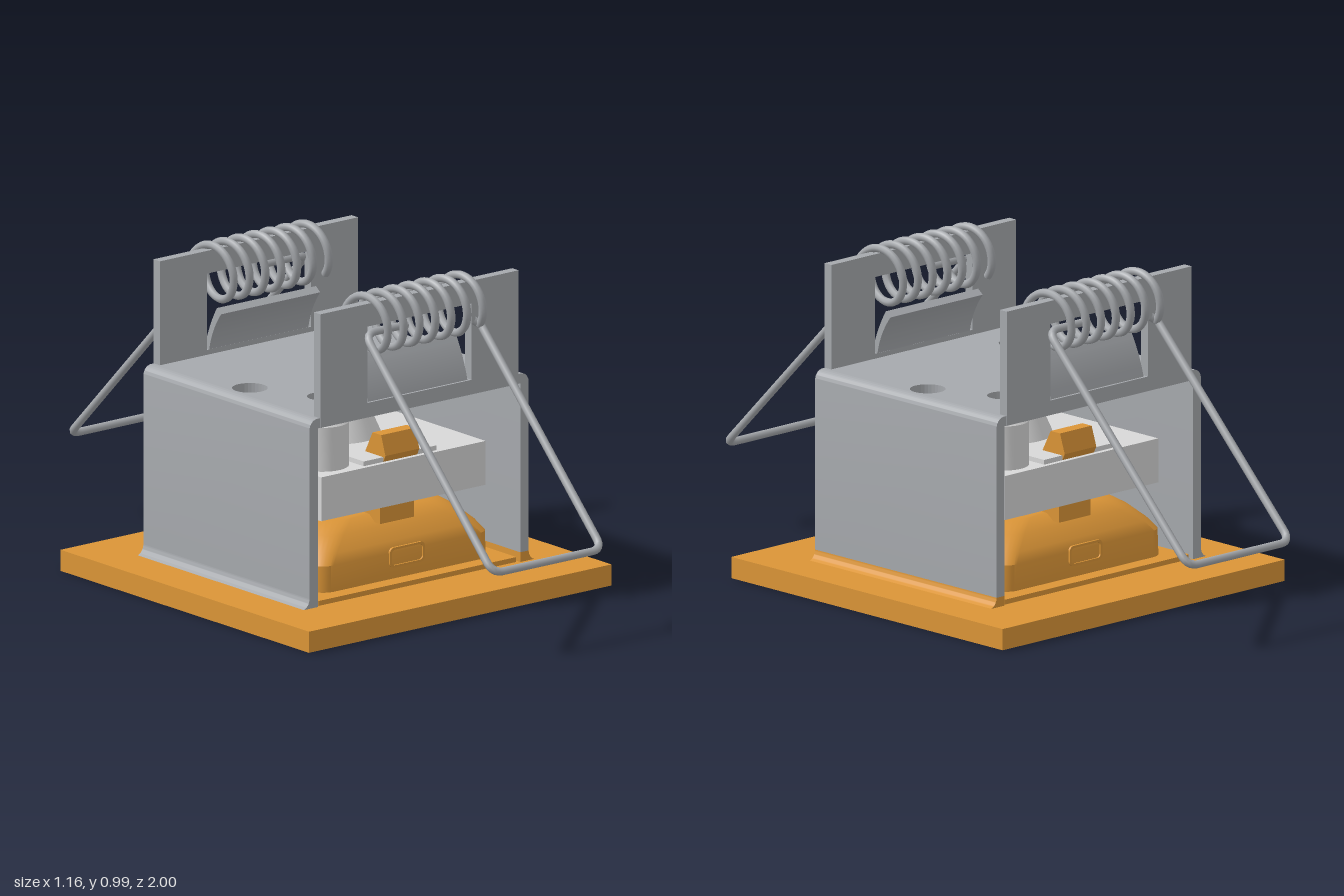
import * as THREE from 'three';
import { toCreasedNormals } from 'three/addons/utils/BufferGeometryUtils.js';

const mat = (name, color, side = THREE.FrontSide) => {
  const m = new THREE.MeshStandardMaterial({ color, side });
  m.name = name;
  return m;
};

export function createModel() {
  const orange = mat('orange paint', 0xdb9537);
  const steel = mat('grey steel', 0xa6a9ad);
  const white = mat('light plastic', 0xd8d8d8);
  const dark = mat('dark grey', 0x77797c);
  const root = new THREE.Group();
  root.name = 'recessedDownlight';

  const add = (name, geo, material, x = 0, y = 0, z = 0, parent = root) => {
    const m = new THREE.Mesh(geo, material);
    m.name = name;
    m.position.set(x, y, z);
    parent.add(m);
    return m;
  };
  const rect = (x0, y0, x1, y1, Type = THREE.Shape) => new Type([
    [x0, y0], [x1, y0], [x1, y1], [x0, y1]].map(p => new THREE.Vector2(...p)));
  const circle = (x, y, r) => new THREE.Path().absarc(x, y, r, 0, Math.PI * 2);
  const extrude = (shape, depth) =>
    new THREE.ExtrudeGeometry(shape, { depth, bevelEnabled: false, curveSegments: 16 });
  const smooth = g => toCreasedNormals(g, 0.6);

  // Loft through rounded squares given as [half width, corner radius, height]
  const loft = rings => {
    const pos = [], idx = [], seg = 8, n = 4 * (seg + 1);
    for (const [h, r, y] of rings) {
      for (let c = 0; c < 4; c++) for (let i = 0; i <= seg; i++) {
        const a = (c + i / seg) * Math.PI / 2;
        const mid = (c + 0.5) * Math.PI / 2, k = (h - r) * Math.SQRT2;
        pos.push(Math.cos(mid) * k + Math.cos(a) * r, y, Math.sin(mid) * k + Math.sin(a) * r);
      }
    }
    for (let j = 0; j < rings.length - 1; j++) for (let i = 0; i < n; i++) {
      const a = j * n + i, b = j * n + (i + 1) % n;
      idx.push(a, a + n, b, b, a + n, b + n);
    }
    const g = new THREE.BufferGeometry();
    g.setAttribute('position', new THREE.Float32BufferAttribute(pos, 3));
    g.setIndex(idx);
    return smooth(g);
  };

  // Square trim plate with its opening
  const plate = rect(-0.58, -0.58, 0.58, 0.58);
  plate.holes.push(rect(-0.38, -0.38, 0.38, 0.38, THREE.Path));
  add('trimPlate', extrude(plate, 0.065).rotateX(-Math.PI / 2), orange);

  // Reflector housing: outer shell upwards, then the funnel back down
  add('reflectorHousing', loft([
    [0.38, 0.005, 0.012], [0.38, 0.005, 0.08], [0.33, 0.05, 0.08], [0.328, 0.05, 0.16],
    [0.31, 0.06, 0.19], [0.275, 0.08, 0.23], [0.235, 0.1, 0.26], [0.21, 0.21, 0.262],
    [0.21, 0.21, 0.3], [0.13, 0.13, 0.3], [0.13, 0.13, 0.25], [0.14, 0.14, 0.235],
    [0.31, 0.006, 0.03], [0.32, 0.006, 0.03], [0.32, 0.006, 0.012], [0.38, 0.005, 0.012],
  ]), orange);

  // Lamp seen through the funnel
  add('lampRing', new THREE.CylinderGeometry(0.13, 0.13, 0.02, 40), white, 0, 0.272, 0);
  add('lampFace', new THREE.CylinderGeometry(0.09, 0.09, 0.006, 40), dark, 0, 0.261, 0);

  // Lamp holder with raised middle, dome and two posts
  add('lampHolder', new THREE.BoxGeometry(0.63, 0.135, 0.63), white, 0, 0.3675, 0);
  add('holderRidge', new THREE.BoxGeometry(0.28, 0.015, 0.6), white, 0, 0.442, 0);
  const lathe = pts => smooth(new THREE.LatheGeometry(pts.map(p => new THREE.Vector2(...p)), 40));
  add('dome', lathe([[0.14, 0.435], [0.128, 0.465], [0.108, 0.51], [0.096, 0.537],
    [0.08, 0.553], [0, 0.555]]), white);
  const post = lathe([[0.08, 0.435], [0.08, 0.57], [0.074, 0.577], [0.066, 0.577], [0.066, 0.6],
    [0, 0.6]]);
  for (const s of [1, -1]) {
    add('post', post, white, 0.223 * s, 0, -0.207 * s);
    add('postScrew', new THREE.ConeGeometry(0.05, 0.008, 32), orange, 0.223 * s, 0.604, -0.207 * s);
  }

  // Clips holding the lamp holder, and the rounded catches on the housing
  const frame = (hw, hh, r, Type) => {
    const p = new Type();
    p.absarc(hw - r, hh - r, r, 0, Math.PI / 2);
    p.absarc(r - hw, hh - r, r, Math.PI / 2, Math.PI);
    p.absarc(r - hw, r - hh, r, Math.PI, Math.PI * 1.5);
    p.absarc(hw - r, r - hh, r, Math.PI * 1.5, Math.PI * 2);
    p.closePath();
    return p;
  };
  const catchShape = frame(0.067, 0.031, 0.016, THREE.Shape);
  catchShape.holes.push(frame(0.06, 0.024, 0.012, THREE.Path));
  const clipShape = new THREE.Shape([[0.21, 0.24], [0.285, 0.24], [0.285, 0.3], [0.3, 0.435],
    [0.31, 0.455], [0.29, 0.515], [0.25, 0.515], [0.21, 0.44]].map(p => new THREE.Vector2(...p)));
  // Profiles drawn in z and y, extruded across x
  const across = (shape, width) =>
    extrude(shape, width).translate(0, 0, -width / 2).rotateY(-Math.PI / 2);
  const clip = across(clipShape, 0.13);
  for (const s of [0, 1]) {
    const g = new THREE.Group();
    g.name = s ? 'backClip' : 'frontClip';
    g.rotation.y = s * Math.PI;
    add('clip', clip, orange, 0, 0, 0, g);
    add('catch', extrude(catchShape, 0.007), orange, 0, 0.145, 0.327, g);
    root.add(g);
  }

  // Bracket: top with holes, rounded sides and flared feet
  const top = rect(-0.39, -0.388, 0.39, 0.388);
  top.holes.push(circle(0.33, 0, 0.053), circle(-0.33, 0, 0.053),
    circle(0.223, 0.207, 0.045), circle(-0.223, -0.207, 0.045));
  add('bracketTop', extrude(top, 0.03).rotateX(-Math.PI / 2), steel, 0, 0.615, 0);

  const side = new THREE.Shape();
  side.moveTo(0.388, 0.095);
  side.lineTo(0.42, 0.095);
  side.lineTo(0.42, 0.615);
  side.absarc(0.39, 0.615, 0.03, 0, Math.PI / 2);
  side.lineTo(0.388, 0.615);
  const foot = new THREE.Shape();
  foot.moveTo(0.388, 0.065);
  foot.lineTo(0.442, 0.065);
  foot.quadraticCurveTo(0.422, 0.072, 0.42, 0.095);
  foot.lineTo(0.388, 0.095);
  const sideGeo = smooth(extrude(side, 0.776).translate(0, 0, -0.388));
  const footGeo = smooth(extrude(foot, 0.776).translate(0, 0, -0.388));
  for (const s of [0, 1]) {
    add(s ? 'rightBracketSide' : 'leftBracketSide', sideGeo, steel).rotation.y = s * Math.PI;
    add(s ? 'rightFoot' : 'leftFoot', footGeo, s ? steel : orange).rotation.y = s * Math.PI;
  }

  // Spring flap with window and bent tab
  const flap = rect(-0.38, 0.615, 0.38, 0.965);
  flap.holes.push(rect(-0.2, 0.66, 0.2, 0.895, THREE.Path));
  const flapGeo = extrude(flap, 0.03).translate(0, 0, 0.36);
  const tab = new THREE.Shape();
  tab.moveTo(0.385, 0.65);
  tab.quadraticCurveTo(0.365, 0.73, 0.325, 0.795);
  tab.lineTo(0.305, 0.78);
  tab.quadraticCurveTo(0.352, 0.72, 0.362, 0.65);
  const tabGeo = smooth(across(tab, 0.38));

  // Coil and the wire loop, with rounded corners
  const V = (x, y, z) => new THREE.Vector3(x, y, z);
  const coilPts = [];
  const turns = 6.75, steps = 160;
  for (let i = 0; i <= steps; i++) {
    const t = i / steps, a = -Math.PI / 4 + (1 - t) * turns * Math.PI * 2;
    coilPts.push(V(-0.205 + 0.41 * t, 0.895 + 0.085 * Math.sin(a), 0.36 + 0.085 * Math.cos(a)));
  }
  const coilGeo = new THREE.TubeGeometry(new THREE.CatmullRomCurve3(coilPts), 320, 0.0125, 8);
  const corners = [V(-0.05, 0.875, 0.39), V(-0.21, 0.875, 0.39), V(-0.21, 0.267, 0.988),
    V(0.21, 0.267, 0.988), V(0.21, 0.835, 0.42), V(0.19, 0.85, 0.41)];
  const wire = new THREE.CurvePath();
  let from = corners[0];
  for (let i = 1; i < corners.length - 1; i++) {
    const c = corners[i], r = i === 4 ? 0.01 : 0.04;
    const toward = p => p.clone().sub(c).setLength(r).add(c);
    const a = toward(corners[i - 1]), b = toward(corners[i + 1]);
    wire.add(new THREE.LineCurve3(from, a));
    wire.add(new THREE.QuadraticBezierCurve3(a, c, b));
    from = b;
  }
  wire.add(new THREE.LineCurve3(from, corners[corners.length - 1]));
  const loopGeo = new THREE.TubeGeometry(wire, 200, 0.0125, 8);

  for (const s of [0, 1]) {
    const g = new THREE.Group();
    g.name = s ? 'backSpringMount' : 'frontSpringMount';
    g.rotation.y = s * Math.PI;
    add('flap', flapGeo, steel, 0, 0, 0, g);
    add('flapTab', tabGeo, steel, 0, 0, 0, g);
    add('springCoil', coilGeo, steel, 0, 0, 0, g);
    add('springLoop', loopGeo, steel, 0, 0, 0, g);
    root.add(g);
  }
  return root;
}
